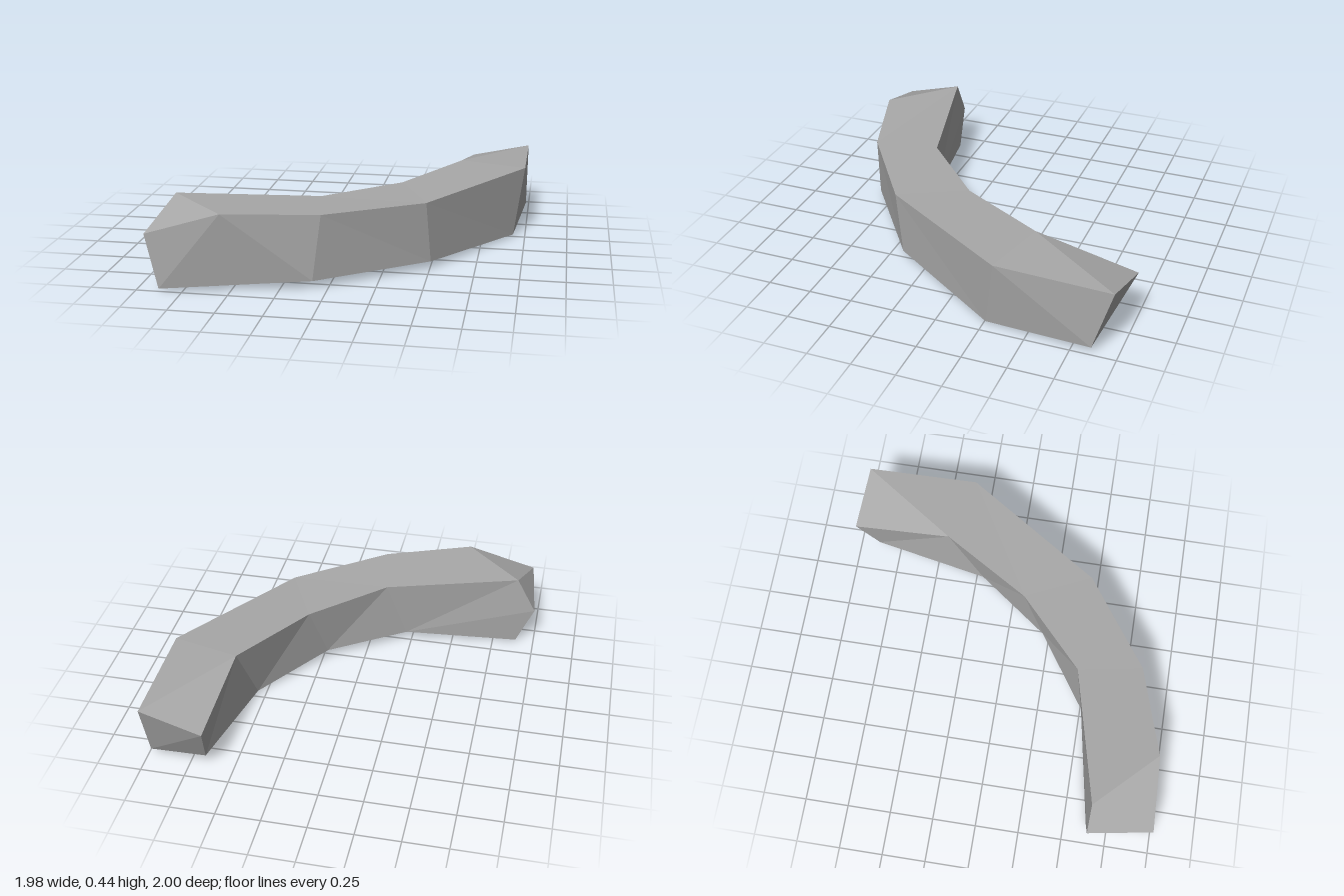
import * as THREE from 'three';

export function createModel() {
  const group = new THREE.Group();
  group.name = 'curvedStone';
  const stone = new THREE.MeshStandardMaterial({ color: 0xa8a8a8, flatShading: true });
  stone.name = 'stoneGrey';

  // Four rails running along the bend, from the -x end to the -z end
  const outerTop = [[-0.54, 0.44, 0.97], [-0.035, 0.415, 0.815], [0.48, 0.4, 0.455], [0.985, 0.415, -0.32], [0.985, 0.395, -0.97]];
  const innerTop = [[-0.875, 0.445, 0.635], [-0.1, 0.41, 0.45], [0.3, 0.405, 0.08], [0.6, 0.42, -0.42], [0.63, 0.31, -1]];
  const innerBottom = [[-0.89, 0.005, 0.63], [-0.218, 0.055, 0.506], [0.22, 0.06, 0.21], [0.55, 0.015, -0.21], [0.66, 0.065, -0.88]];
  const outerBottom = [[-0.875, 0.02, 1], [-0.08, 0.05, 0.83], [0.505, 0.05, 0.41], [0.93, 0.015, -0.26], [0.985, 0.04, -0.86]];
  // Extra corners of the chipped end
  const endOuter = [-0.945, 0.32, 0.995];
  const endInner = [-0.99, 0.235, 0.635];

  const positions = [];
  const tri = (...corners) => corners.forEach((c) => positions.push(...c));

  // Band of facets between two rails; flip chooses the other diagonal
  function strip(p, q, flip = false, start = 0) {
    for (let i = start; i < p.length - 1; i++) {
      if (flip) {
        tri(p[i], q[i], p[i + 1]);
        tri(q[i], q[i + 1], p[i + 1]);
      } else {
        tri(p[i], q[i], q[i + 1]);
        tri(p[i], q[i + 1], p[i + 1]);
      }
    }
  }
  strip(innerTop, outerTop);
  strip(outerTop, outerBottom);
  strip(outerBottom, innerBottom);
  strip(innerBottom, innerTop, true, 1);

  // First inner facet, widened to meet the chipped corner
  const [b0, b1] = innerTop, [c0, c1] = innerBottom;
  tri(c0, endInner, c1);
  tri(endInner, b0, c1);
  tri(b0, b1, c1);

  // Chipped end
  const a = outerTop[0], d = outerBottom[0];
  tri(endOuter, a, b0);
  tri(endOuter, d, a);
  tri(endOuter, b0, endInner);
  tri(endOuter, endInner, d);
  tri(endInner, c0, d);

  // Plain end
  tri(innerTop[4], outerTop[4], outerBottom[4]);
  tri(innerTop[4], outerBottom[4], innerBottom[4]);

  const geometry = new THREE.BufferGeometry();
  geometry.setAttribute('position', new THREE.Float32BufferAttribute(positions, 3));
  geometry.computeVertexNormals();
  const mesh = new THREE.Mesh(geometry, stone);
  mesh.name = 'stoneBody';
  group.add(mesh);
  return group;
}
